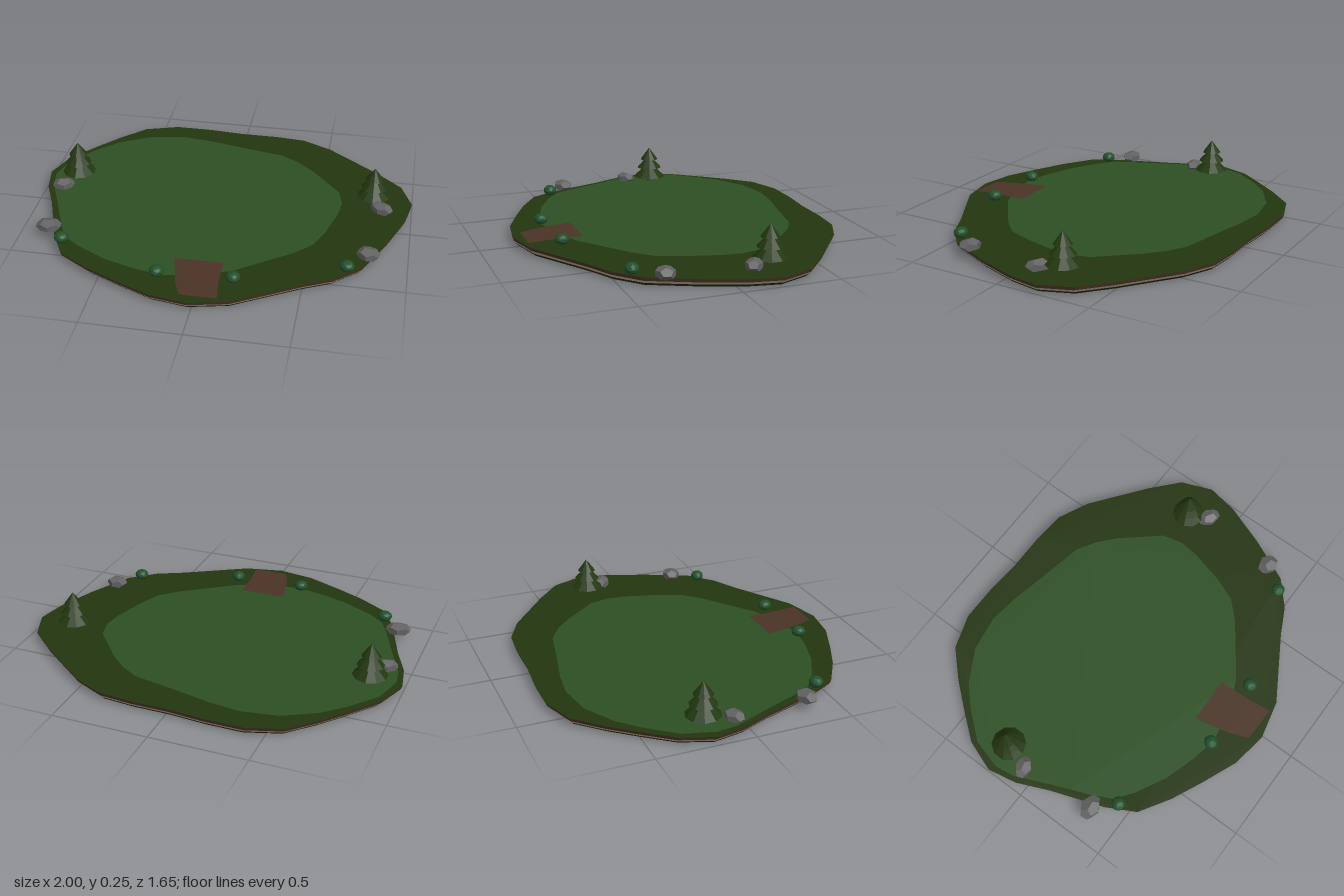
import * as THREE from 'three';

const mat = (name, color) => new THREE.MeshStandardMaterial({ name, color, flatShading: true });

// Plan outlines as [x, z], running clockwise from the back when seen from above
const RIM = [
  [-.41, -.83], [-.21, -.83], [-.02, -.815], [.18, -.815], [.35, -.8], [.51, -.725], [.79, -.51],
  [.935, -.38], [1, -.215], [.97, -.05], [.89, .165], [.78, .4], [.65, .515], [.51, .585], [.18, .78],
  [-.02, .825], [-.21, .795], [-.4, .715], [-.56, .64], [-.72, .54], [-.8, .39], [-.9, .11],
  [-.97, -.05], [-1, -.205], [-.94, -.37], [-.825, -.515], [-.72, -.64], [-.59, -.77],
];
const LAWN = [
  [-.34, -.71], [-.18, -.69], [0, -.65], [.25, -.6], [.35, -.54], [.44, -.46], [.605, -.265],
  [.63, -.16], [.62, -.06], [.57, .125], [.52, .25], [.43, .34], [.155, .54], [0, .6], [-.18, .635],
  [-.315, .61], [-.49, .555], [-.65, .47], [-.74, .4], [-.79, .3], [-.83, .2], [-.89, .055],
  [-.95, -.08], [-.965, -.185], [-.92, -.345], [-.8, -.49], [-.7, -.585], [-.53, -.68],
];
const PATH = [[-.145, .49], [.1, .485], [.105, .65], [.12, .775], [-.065, .775], [-.105, .67]];

// Flat sheet in the ground plane, facing up or down
function sheet(points, y, up = true) {
  const s = up ? -1 : 1;
  const shape = new THREE.Shape(points.map(([x, z]) => new THREE.Vector2(x, s * z)));
  return new THREE.ShapeGeometry(shape).rotateX(s * Math.PI / 2).translate(0, y, 0);
}

const scaled = (points, k) => points.map(([x, z]) => [x * k, z * k]);

// Side wall between two heights, the outline scaled at each
function band(y0, k0, y1, k1) {
  const pos = [];
  RIM.forEach(([ax, az], i) => {
    const [bx, bz] = RIM[(i + 1) % RIM.length];
    const a0 = [ax * k0, y0, az * k0], a1 = [ax * k1, y1, az * k1];
    const b0 = [bx * k0, y0, bz * k0], b1 = [bx * k1, y1, bz * k1];
    pos.push(...a0, ...a1, ...b0, ...b0, ...a1, ...b1);
  });
  const g = new THREE.BufferGeometry();
  g.setAttribute('position', new THREE.Float32BufferAttribute(pos, 3));
  g.computeVertexNormals();
  return g;
}

export function createModel() {
  const model = new THREE.Group();
  model.name = 'clearing';
  const forest = mat('forest green', 0x23350f);
  const grass = mat('grass green', 0x2d5024);
  const earth = mat('earth brown', 0x4a3325);
  const sand = mat('pale sand', 0xb5a88a);
  const base = mat('dark soil', 0x2a2813);
  const stone = mat('stone grey', 0x626262);
  const leaf = mat('bush green', 0x20502b);
  const needle = mat('needle green', 0x22370f);

  const add = (name, geo, material, parent = model) => {
    const m = new THREE.Mesh(geo, material);
    m.name = name;
    parent.add(m);
    return m;
  };

  // Layered slab of ground
  add('forestFloor', sheet(RIM, 0.046), forest);
  add('earthLayer', band(0.028, 0.992, 0.046, 1), earth);
  add('sandLayer', band(0.014, 0.98, 0.028, 0.992), sand);
  add('baseLayer', band(0, 0.965, 0.014, 0.98), base);
  add('underside', sheet(scaled(RIM, 0.965), 0, false), base);
  add('lawn', sheet(LAWN, 0.05), grass);
  add('entrancePath', sheet(PATH, 0.053), earth);

  // Three-tier conifers: x, z, size
  for (const [x, z, s] of [[-.835, -.2, 1], [.79, -.23, .96]]) {
    const tree = new THREE.Group();
    tree.name = 'conifer';
    tree.position.set(x, 0.046, z);
    tree.scale.setScalar(s);
    add('trunk', new THREE.CylinderGeometry(.014, .019, .06, 8).translate(0, .03, 0), earth, tree);
    for (const [r, bottom, h] of [[.09, .03, .085], [.07, .085, .075], [.05, .135, .069]])
      add('branches', new THREE.ConeGeometry(r, h, 10).translate(0, bottom + h / 2, 0), needle, tree);
    model.add(tree);
  }

  // Boulders: x, z, half width, half depth, turn
  for (const [x, z, rx, rz, turn] of [
    [-.885, -.065, .06, .045, .3], [-.845, .335, .068, .052, .1],
    [.84, -.125, .065, .045, -.5], [.8, .3, .06, .052, -.2],
  ]) {
    const rock = add('boulder', new THREE.DodecahedronGeometry(1), stone);
    rock.position.set(x, .064, z);
    rock.scale.set(rx, .033, rz);
    rock.rotation.y = turn;
  }

  // Small bushes: x, z
  [[-.745, .44], [-.205, .63], [.17, .615], [.705, .43]].forEach(([x, z], i) => {
    const bush = add('bush', new THREE.IcosahedronGeometry(1, 1), leaf);
    bush.position.set(x, .071, z);
    bush.scale.set(.038, .029, .036);
    bush.rotation.y = i;
  });

  return model;
}
